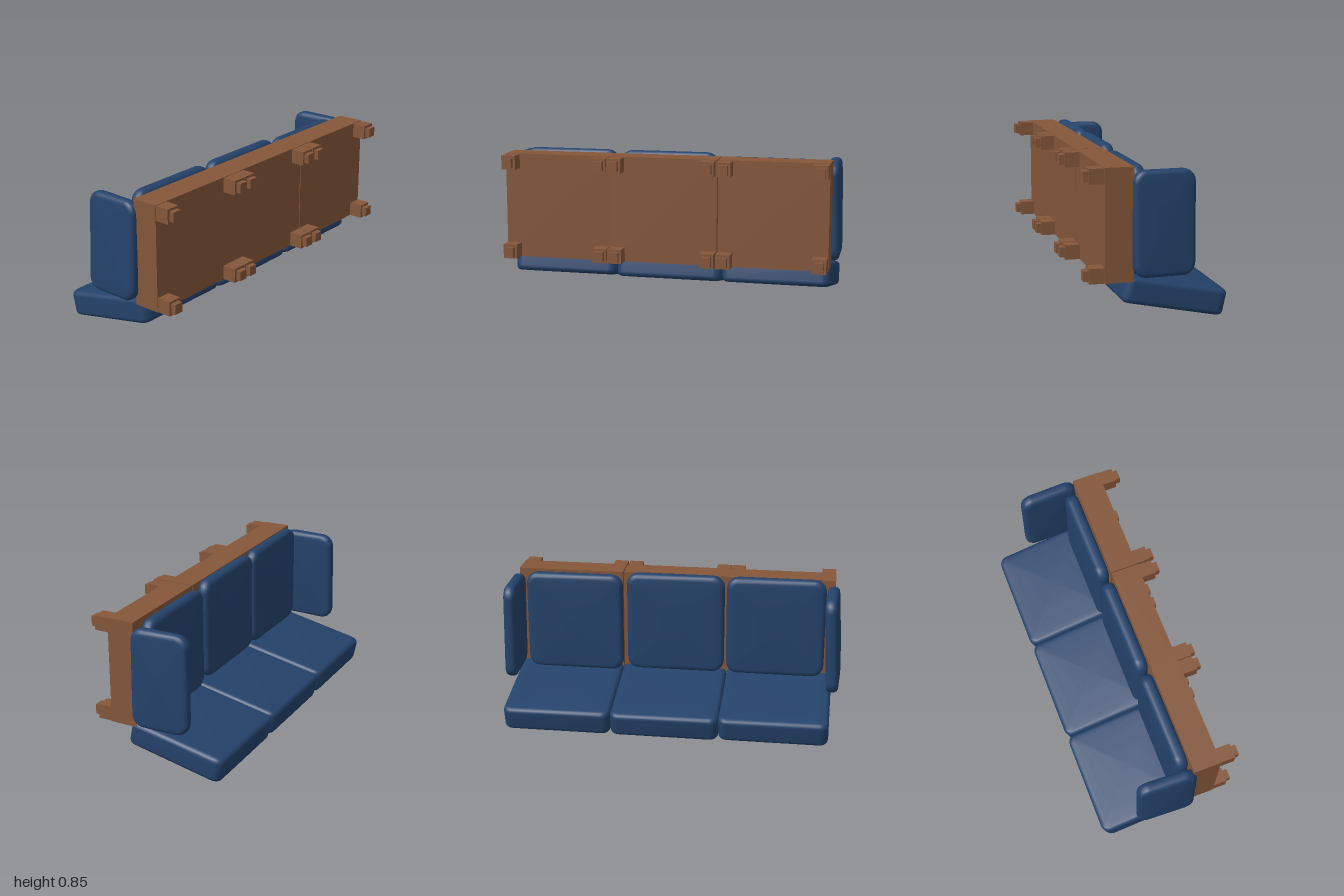
import * as THREE from 'three';

// Soft slab: rounded-rectangle rings in XY stacked along Z, with bulging faces
function cushionGeometry(w, h, t, r, edge, bulge) {
  const steps = 5, rings = [], half = t / 2 - bulge;
  const ring = (inset, scale, z) => {
    const pts = [];
    for (let q = 0; q < 4; q++) {
      const sx = q === 0 || q === 3 ? 1 : -1, sy = q < 2 ? 1 : -1;
      for (let i = 0; i <= steps; i++) {
        const a = (q + i / steps) * Math.PI / 2;
        pts.push([
          (sx * (w / 2 - r) + Math.cos(a) * (r - inset)) * scale,
          (sy * (h / 2 - r) + Math.sin(a) * (r - inset)) * scale, z]);
      }
    }
    rings.push(pts);
  };
  const caps = [0.08, 0.4, 0.75, 0.92];
  const capZ = s => half + bulge * (1 - s * s);
  caps.forEach(s => ring(edge, s, -capZ(s)));
  for (let i = 0; i <= 4; i++) {
    const a = i / 4 * Math.PI / 2;
    ring(edge * (1 - Math.sin(a)), 1, -half + edge * (1 - Math.cos(a)));
  }
  for (let i = 4; i >= 0; i--) {
    const a = i / 4 * Math.PI / 2;
    ring(edge * (1 - Math.sin(a)), 1, half - edge * (1 - Math.cos(a)));
  }
  [...caps].reverse().forEach(s => ring(edge, s, capZ(s)));

  const n = rings[0].length, idx = [];
  const pos = rings.flat(2);
  for (let k = 0; k < rings.length - 1; k++) {
    for (let i = 0; i < n; i++) {
      const j = (i + 1) % n, a = k * n + i, b = k * n + j;
      idx.push(a, b, b + n, a, b + n, a + n);
    }
  }
  const first = pos.length / 3, top = (rings.length - 1) * n;
  pos.push(0, 0, -t / 2, 0, 0, t / 2);
  for (let i = 0; i < n; i++) {
    const j = (i + 1) % n;
    idx.push(first, j, i, first + 1, top + i, top + j);
  }
  const g = new THREE.BufferGeometry();
  g.setAttribute('position', new THREE.Float32BufferAttribute(pos, 3));
  g.setIndex(idx);
  g.computeVertexNormals();
  return g;
}

export function createModel() {
  const model = new THREE.Group();
  model.name = 'sofa';
  const wood = new THREE.MeshStandardMaterial({ color: 0x84563a });
  wood.name = 'brown wood';
  const fabric = new THREE.MeshStandardMaterial({ color: 0x24426a });
  fabric.name = 'navy fabric';

  const add = (name, geo, mat, x, y, z, parent = model) => {
    const m = new THREE.Mesh(geo, mat);
    m.name = name;
    m.position.set(x, y, z);
    parent.add(m);
    return m;
  };

  // Three base modules, each with four stepped legs
  const legGeo = new THREE.BoxGeometry(0.083, 0.083, 0.082);
  const footGeo = new THREE.BoxGeometry(0.056, 0.056, 0.03);
  [[-0.945, -0.312], [-0.312, 0.317], [0.323, 0.955]].forEach(([x0, x1]) => {
    const base = new THREE.Group();
    base.name = 'baseModule';
    model.add(base);
    add('baseFrame', new THREE.BoxGeometry(x1 - x0, 0.613, 0.157), wood,
      (x0 + x1) / 2, 0.5395, 0.2095, base);
    for (const x of [x0 + 0.044, x1 - 0.044]) {
      for (const y of [0.276, 0.802]) {
        add('leg', legGeo, wood, x, y, 0.33, base);
        add('foot', footGeo, wood, x, y, 0.385, base);
      }
    }
  });

  // Seat cushions lying against the base
  const seatGeo = cushionGeometry(0.585, 0.6, 0.09, 0.07, 0.03, 0.008);
  [[-0.602, 0.56], [-0.004, 0.56], [0.608, 0.54]].forEach(([x, y]) =>
    add('seatCushion', seatGeo, fabric, x, y, 0.088));

  // Slanted backrest cushions
  const backGeo = cushionGeometry(0.634, 0.582, 0.16, 0.05, 0.028, 0.007);
  [[-0.627, 0.139], [0.007, 0.134], [0.641, 0.134]].forEach(([x, y]) => {
    add('backCushion', backGeo, fabric, x, y, -0.103).rotation.x = Math.PI / 2 - 0.205;
  });

  // Arm cushions, leaning slightly inwards at the top
  const armGeo = cushionGeometry(0.343, 0.572, 0.085, 0.07, 0.028, 0.008);
  add('leftArmCushion', armGeo, fabric, 0.952, 0.54, -0.032)
    .rotation.set(0, Math.PI / 2 + 0.03, 0.02, 'ZYX');
  add('rightArmCushion', armGeo, fabric, -0.944, 0.54, -0.022)
    .rotation.set(0, Math.PI / 2 - 0.04, -0.05, 'ZYX');

  return model;
}
